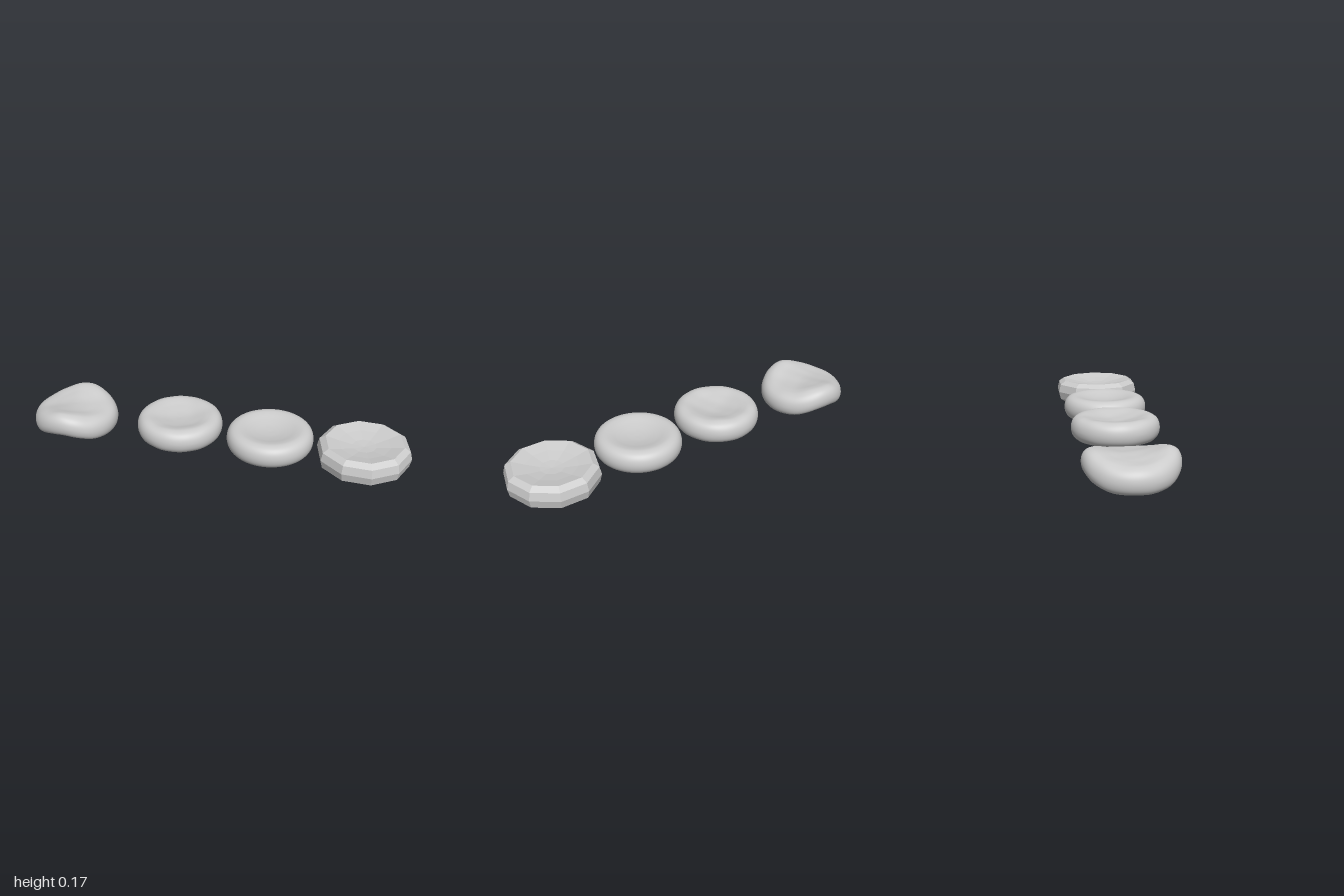
import * as THREE from 'three';
import { mergeVertices } from 'three/addons/utils/BufferGeometryUtils.js';

// Upper half of each disc profile as [radius, height above the mid-plane], rim to centre
const SMOOTH = [[0.22, 0], [0.214, 0.03], [0.197, 0.051], [0.17, 0.06], [0.14, 0.057], [0.1, 0.047], [0.05, 0.038], [0, 0.035]];
const FACETED = [[0.236, 0], [0.226, 0.042], [0.196, 0.062], [0.13, 0.047], [0.06, 0.035], [0, 0.031]];

// Mirrors a half profile, running from bottom centre round the rim to top centre
function fullProfile(half) {
  const top = half.map(([r, y]) => new THREE.Vector2(r, y));
  const bottom = half.slice(1).reverse().map(([r, y]) => new THREE.Vector2(r, -y));
  return [...bottom, ...top];
}

// Smooth dimpled disc; bend moves each vertex by a rule before normals are made
function smoothDisc(bend) {
  const points = new THREE.SplineCurve(fullProfile(SMOOTH)).getPoints(72);
  points.forEach(p => { p.x = Math.max(p.x, 0); });
  let geo = new THREE.LatheGeometry(points, 72);
  geo.deleteAttribute('uv');
  geo.deleteAttribute('normal');
  geo = mergeVertices(geo, 1e-5);
  if (bend) {
    const pos = geo.attributes.position;
    for (let i = 0; i < pos.count; i++) bend(pos, i);
  }
  geo.computeVertexNormals();
  return geo;
}

// Saddle bend: the two x ends droop
function droop(pos, i) {
  const s = Math.sin((Math.PI * pos.getX(i)) / 0.44);
  pos.setY(i, pos.getY(i) - 0.047 * s * s);
}

// Very shallow unevenness of the surface
function uneven(pos, i) {
  const x = pos.getX(i), y = pos.getY(i), z = pos.getZ(i);
  const w = 0.0012 * Math.sin(43 * x + 11 * z) * Math.sin(37 * z - 17 * x + 20 * y);
  pos.setY(i, y + w * Math.sign(y));
}

export function createModel() {
  const group = new THREE.Group();
  const grey = new THREE.MeshStandardMaterial({ color: 0xcccccc });
  const flatGrey = new THREE.MeshStandardMaterial({ color: 0xcccccc, flatShading: true });

  const add = (name, geo, mat, x, y) => {
    const mesh = new THREE.Mesh(geo, mat);
    mesh.name = name;
    mesh.position.set(x, y, 0);
    group.add(mesh);
  };

  // Row of four discs, from bent and detailed to low-poly
  add('bentDisc', smoothDisc((p, i) => { uneven(p, i); droop(p, i); }), grey, -0.78, 0.102);
  add('unevenDisc', smoothDisc(uneven), grey, -0.195, 0.11);
  add('smoothDisc', smoothDisc(), grey, 0.285, 0.11);
  add('facetedDisc', new THREE.LatheGeometry(fullProfile(FACETED), 10, Math.PI / 2), flatGrey, 0.763, 0.11);

  return group;
}
